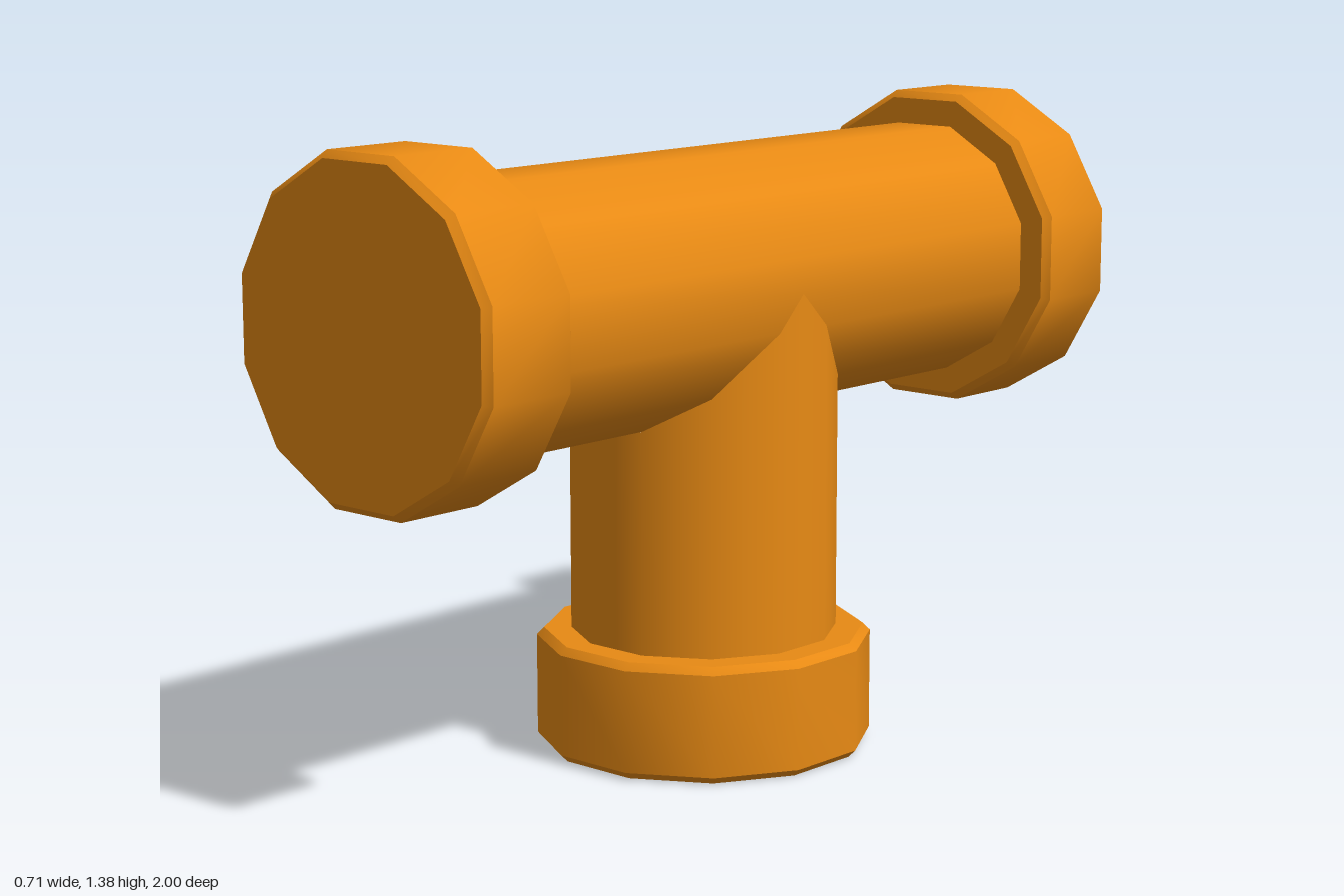
import * as THREE from 'three';
import { toCreasedNormals } from 'three/addons/utils/BufferGeometryUtils.js';

const SIDES = 12;
const STEP = Math.PI / SIDES;          // half a facet
const AXIS_Y = 1.022;                  // height of the horizontal pipe's axis
const PIPE_R = 0.282 / Math.cos(STEP); // corner radii from flat-to-centre sizes
const COLLAR_R = 0.356 / Math.cos(STEP);
const STEM_Z = -0.002;

const material = new THREE.MeshStandardMaterial({ color: 0xe88a14 });

function part(name, geometry) {
  const mesh = new THREE.Mesh(geometry, material);
  mesh.name = name;
  return mesh;
}

// Closed twelve-sided collar with bevelled rims, outer face at y = 0
function collarGeometry(length) {
  const b = 0.016;
  const profile = [
    [0, 0], [COLLAR_R - b, 0], [COLLAR_R, b],
    [COLLAR_R, length - b], [COLLAR_R - b, length], [0, length],
  ].map(([r, y]) => new THREE.Vector2(r, y));
  return toCreasedNormals(new THREE.LatheGeometry(profile, SIDES, STEP), 0.6);
}

// Upright branch: facets split at their middles, top mitred against the pipe
function stemGeometry() {
  const g = new THREE.CylinderGeometry(1, 1, 1, SIDES * 2, 1, true);
  const p = g.attributes.position;
  for (let i = 0; i < p.count; i++) {
    const middle = (i % (SIDES * 2 + 1)) % 2 === 0;
    const r = PIPE_R * 1.002 * (middle ? Math.cos(STEP) : 1);
    const x = p.getX(i) * r, z = p.getZ(i) * r;
    p.setXYZ(i, x, p.getY(i) > 0 ? AXIS_Y - Math.abs(z) : 0.1, z);
  }
  return g;
}

export function createModel() {
  const group = new THREE.Group();
  group.name = 'pipeTee';

  // Horizontal pipe along z
  const pipe = part('mainPipe', new THREE.CylinderGeometry(PIPE_R, PIPE_R, 1.8, SIDES, 1, true, STEP));
  pipe.rotation.x = Math.PI / 2;
  pipe.position.y = AXIS_Y;
  group.add(pipe);

  // Vertical branch
  const stem = part('stem', stemGeometry());
  stem.position.z = STEM_Z;
  group.add(stem);

  // Collars closing the three ends
  const base = part('bottomCollar', collarGeometry(0.255));
  base.position.z = STEM_Z;
  group.add(base);
  for (const [name, dir, length] of [['frontCollar', 1, 0.238], ['backCollar', -1, 0.23]]) {
    const collar = part(name, collarGeometry(length));
    collar.rotation.x = -dir * Math.PI / 2;
    collar.position.set(0, AXIS_Y, dir);
    group.add(collar);
  }
  return group;
}
